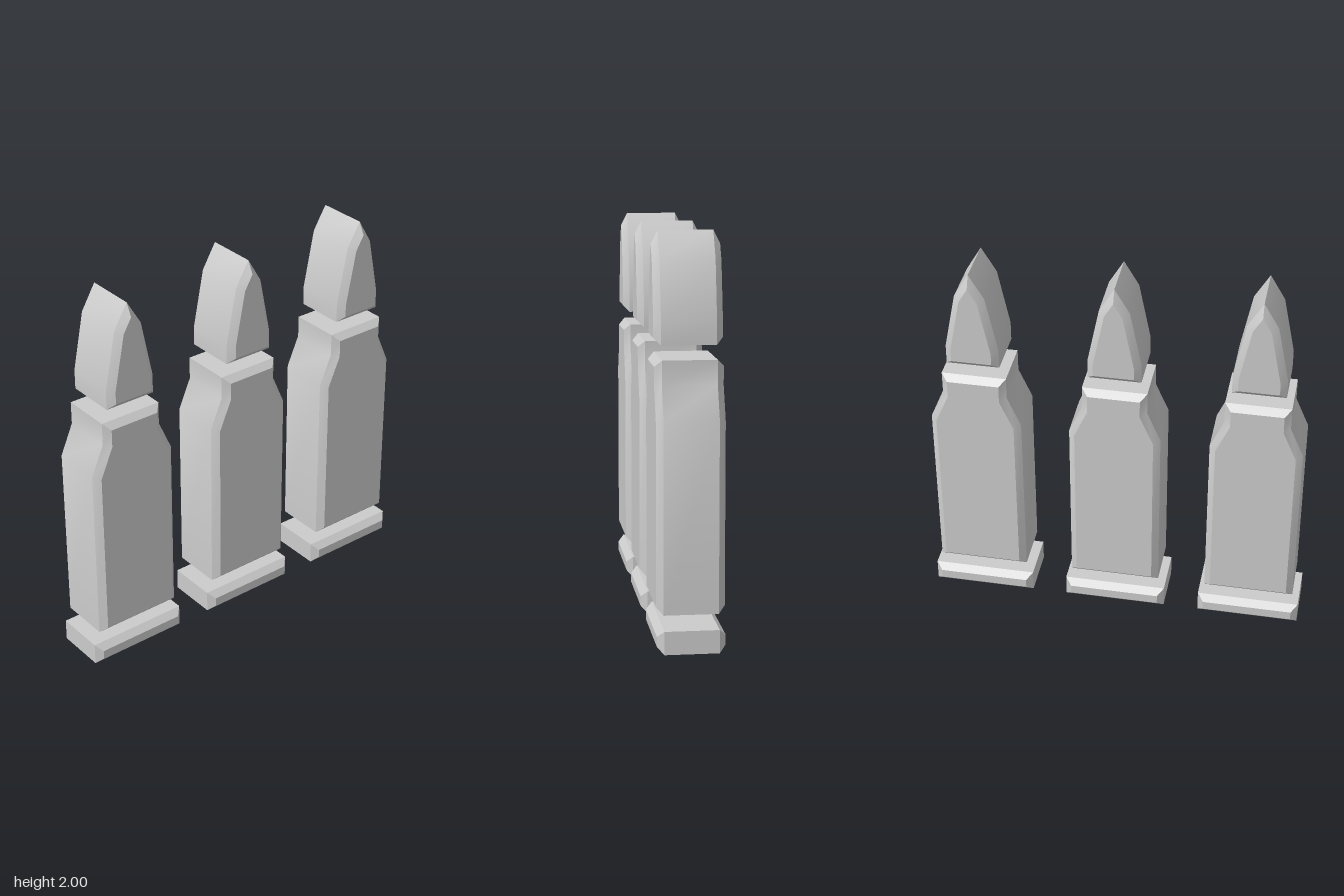
import * as THREE from 'three';
import { toCreasedNormals } from 'three/addons/utils/BufferGeometryUtils.js';

const HALF_DEPTH = 0.166;
const BEVEL = 0.033;
const SPACING = 0.729;

// Move every edge of a counter-clockwise outline inwards by d, with full mitres.
function inset(points, d) {
  const n = points.length;
  return points.map((p, i) => {
    const a = p.clone().sub(points[(i + n - 1) % n]).normalize();
    const b = points[(i + 1) % n].clone().sub(p).normalize();
    const na = new THREE.Vector2(-a.y, a.x);
    const nb = new THREE.Vector2(-b.y, b.x);
    return p.clone().addScaledVector(na.clone().add(nb), d / (1 + na.dot(nb)));
  });
}

// Slab with chamfered front and back rims, built from four outline loops.
function bevelledSlab(outline) {
  const n = outline.length;
  const inner = inset(outline, BEVEL);
  const loops = [
    [inner, HALF_DEPTH],
    [outline, HALF_DEPTH - BEVEL],
    [outline, BEVEL - HALF_DEPTH],
    [inner, -HALF_DEPTH],
  ];
  const positions = loops.flatMap(([pts, z]) => pts.flatMap((p) => [p.x, p.y, z]));
  const index = [];
  for (let k = 0; k < 3; k++) {
    for (let i = 0; i < n; i++) {
      const j = (i + 1) % n;
      const a = k * n + i, b = k * n + j, c = a + n, d = b + n;
      index.push(a, c, d, a, d, b);
    }
  }
  // Front and back faces
  for (const [a, b, c] of THREE.ShapeUtils.triangulateShape(inner, [])) {
    index.push(a, b, c, 3 * n + a, 3 * n + c, 3 * n + b);
  }
  const geometry = new THREE.BufferGeometry();
  geometry.setAttribute('position', new THREE.Float32BufferAttribute(positions, 3));
  geometry.setIndex(index);
  return toCreasedNormals(geometry, Math.PI / 6);
}

// Right half of a profile, bottom to top, mirrored into a closed outline.
function mirrored(half) {
  const right = half.map(([x, y]) => new THREE.Vector2(x, y));
  const left = half.filter(([x]) => x > 0).reverse().map(([x, y]) => new THREE.Vector2(-x, y));
  return [...right, ...left];
}

export function createModel() {
  const material = new THREE.MeshStandardMaterial({ color: 0xcccccc });
  const profiles = {
    rim: [[0.271, 0], [0.271, 0.115]],
    case: [[0.238, 0.185], [0.238, 1.12], [0.168, 1.28], [0.168, 1.4]],
    tip: [[0.137, 1.467], [0.137, 1.57], [0.077, 1.87], [0, 2]],
  };
  const parts = Object.entries(profiles).map(([name, half]) => [name, bevelledSlab(mirrored(half))]);

  // Three identical cartridges in a row
  const model = new THREE.Group();
  model.name = 'cartridges';
  ['right', 'middle', 'left'].forEach((side, i) => {
    const cartridge = new THREE.Group();
    cartridge.name = side + 'Cartridge';
    cartridge.position.x = (i - 1) * SPACING;
    for (const [name, geometry] of parts) {
      const mesh = new THREE.Mesh(geometry, material);
      mesh.name = name;
      cartridge.add(mesh);
    }
    model.add(cartridge);
  });
  return model;
}
